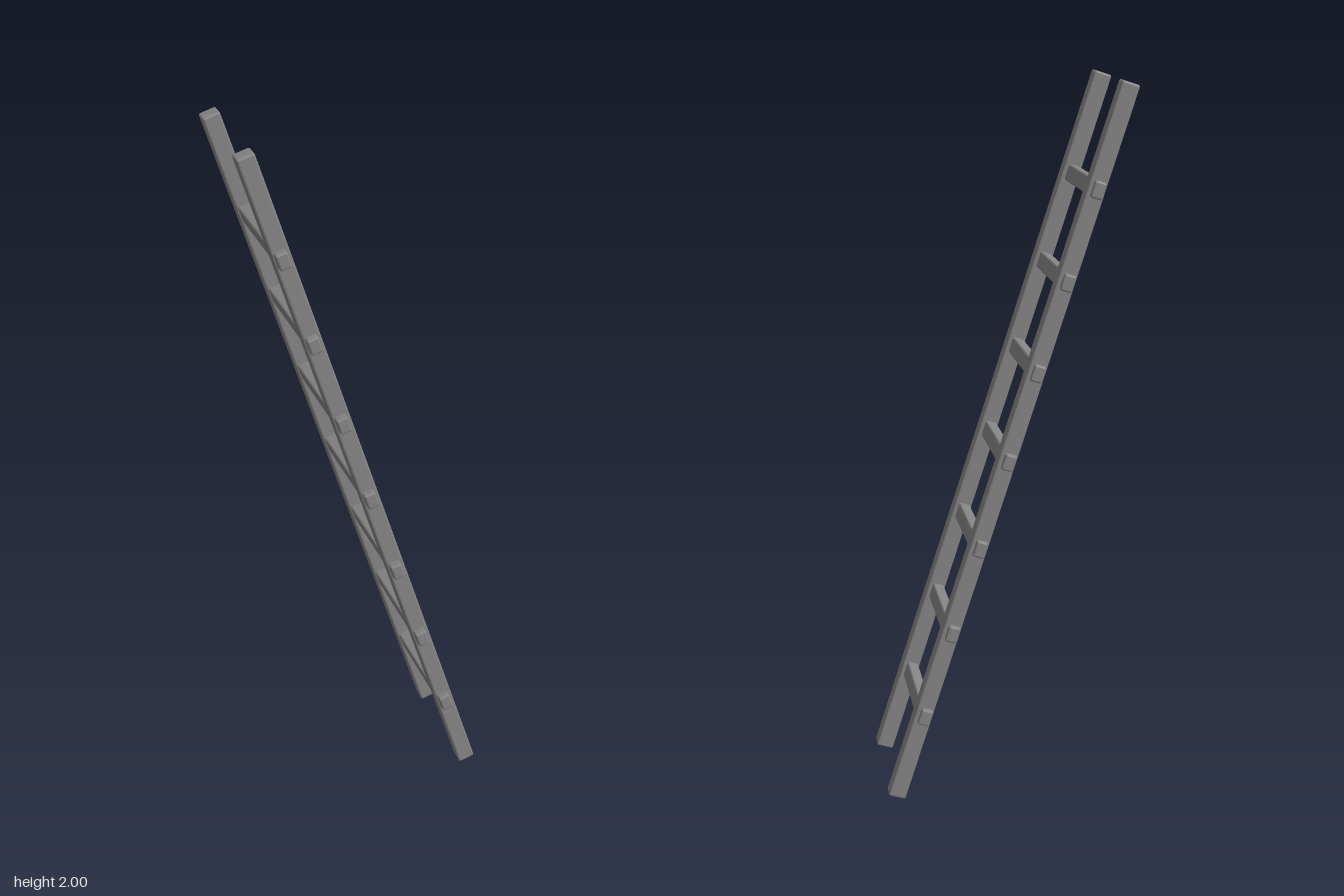
import * as THREE from 'three';
import { RoundedBoxGeometry } from 'three/addons/geometries/RoundedBoxGeometry.js';

export function createModel() {
  const material = new THREE.MeshStandardMaterial({ color: 0x858585, flatShading: true });
  const model = new THREE.Group();
  model.name = 'ladder';

  // Everything is built upright, then leaned towards -x.
  const leaning = new THREE.Group();
  leaning.name = 'leaningLadder';
  leaning.position.y = 1;
  leaning.rotation.z = THREE.MathUtils.degToRad(17.9);
  model.add(leaning);

  // Square beam with a narrow chamfer on every edge
  function addBeam(name, size, position) {
    const mesh = new THREE.Mesh(new RoundedBoxGeometry(...size, 1, 0.005), material);
    mesh.name = name;
    mesh.position.set(...position);
    leaning.add(mesh);
  }

  // Two side rails
  addBeam('leftRail', [0.049, 2.088, 0.049], [0, 0, 0.161]);
  addBeam('rightRail', [0.049, 2.088, 0.049], [0, 0, -0.171]);

  // Seven rungs passing through the rails
  for (let i = -3; i <= 3; i++) {
    addBeam(`rung${i + 4}`, [0.033, 0.047, 0.42], [-0.003, i * 0.2568 - 0.015, -0.001]);
  }

  return model;
}
